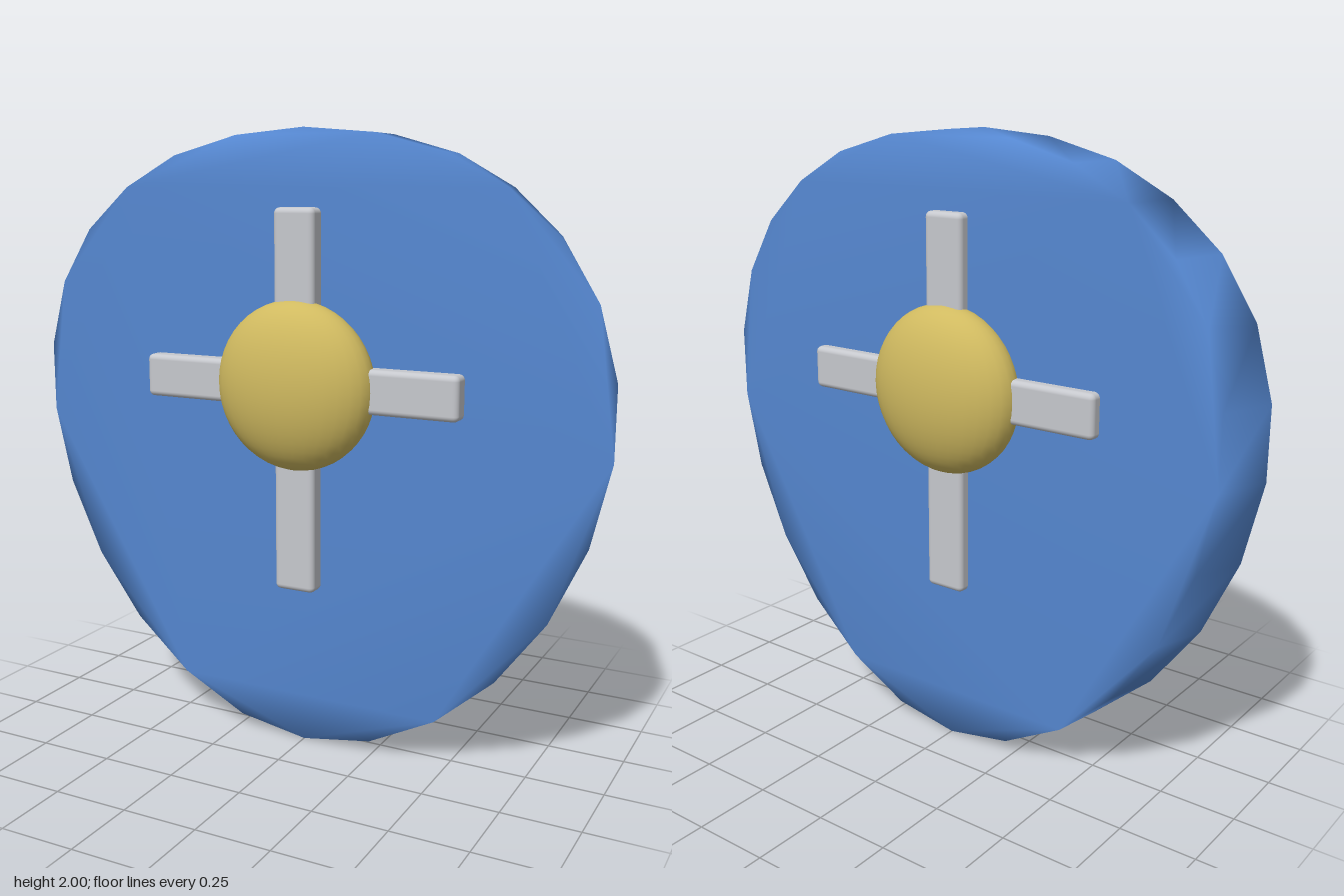
import * as THREE from 'three';
import { mergeVertices } from 'three/addons/utils/BufferGeometryUtils.js';
import { RoundedBoxGeometry } from 'three/addons/geometries/RoundedBoxGeometry.js';

const FRONT = 0.07, BACK = -0.105, BOSS_Y = 1.21;

function material(name, color) {
  const m = new THREE.MeshStandardMaterial({ color });
  m.name = name;
  return m;
}

// Slab with a faceted egg outline, narrower in x at the back
function shieldGeometry() {
  const half = [[0, 2], [0.24, 1.98], [0.47, 1.92], [0.66, 1.82], [0.82, 1.68], [0.935, 1.5], [0.995, 1.28],
    [0.995, 1.05], [0.935, 0.79], [0.82, 0.54], [0.66, 0.325], [0.465, 0.155], [0.24, 0.04], [0, 0]];
  const mirrored = half.slice(1, -1).reverse().map(([x, y]) => [-x, y]);
  const outline = [...half, ...mirrored].map(([x, y]) => new THREE.Vector2(x, y));
  const slab = new THREE.ExtrudeGeometry(new THREE.Shape(outline), { depth: FRONT - BACK, bevelEnabled: false });
  slab.translate(0, 0, BACK);
  const p = slab.attributes.position;
  for (let i = 0; i < p.count; i++) {
    if (p.getZ(i) < 0) p.setX(i, p.getX(i) * 0.938);
  }
  // Shared corners give the soft shading that runs over the rim
  slab.deleteAttribute('normal');
  slab.deleteAttribute('uv');
  const smooth = mergeVertices(slab, 1e-4);
  smooth.computeVertexNormals();
  return smooth;
}

export function createModel() {
  const model = new THREE.Group();
  model.name = 'shield';
  const blue = material('blue', 0x5587d0);
  const silver = material('silver', 0xc6c8cd);
  const gold = material('gold', 0xd0ba60);

  const add = (name, geometry, mat, x, y, z) => {
    const mesh = new THREE.Mesh(geometry, mat);
    mesh.name = name;
    mesh.position.set(x, y, z);
    model.add(mesh);
  };

  add('shieldBody', shieldGeometry(), blue, 0, 0, 0);

  // Cross bars and boss on both faces
  const upright = new RoundedBoxGeometry(0.14, 1.22, 0.07, 3, 0.018);
  const crossbar = new RoundedBoxGeometry(1.095, 0.14, 0.07, 3, 0.018);
  const boss = new THREE.SphereGeometry(0.27, 32, 24);
  boss.scale(1, 1, 0.13 / 0.27);
  for (const [side, s] of [['front', 1], ['back', -1]]) {
    add(side + 'Upright', upright, silver, 0, 1.15, s * 0.108);
    add(side + 'Crossbar', crossbar, silver, 0, BOSS_Y, s * 0.108);
    add(side + 'Boss', boss, gold, 0, BOSS_Y, s * 0.125);
  }
  return model;
}
